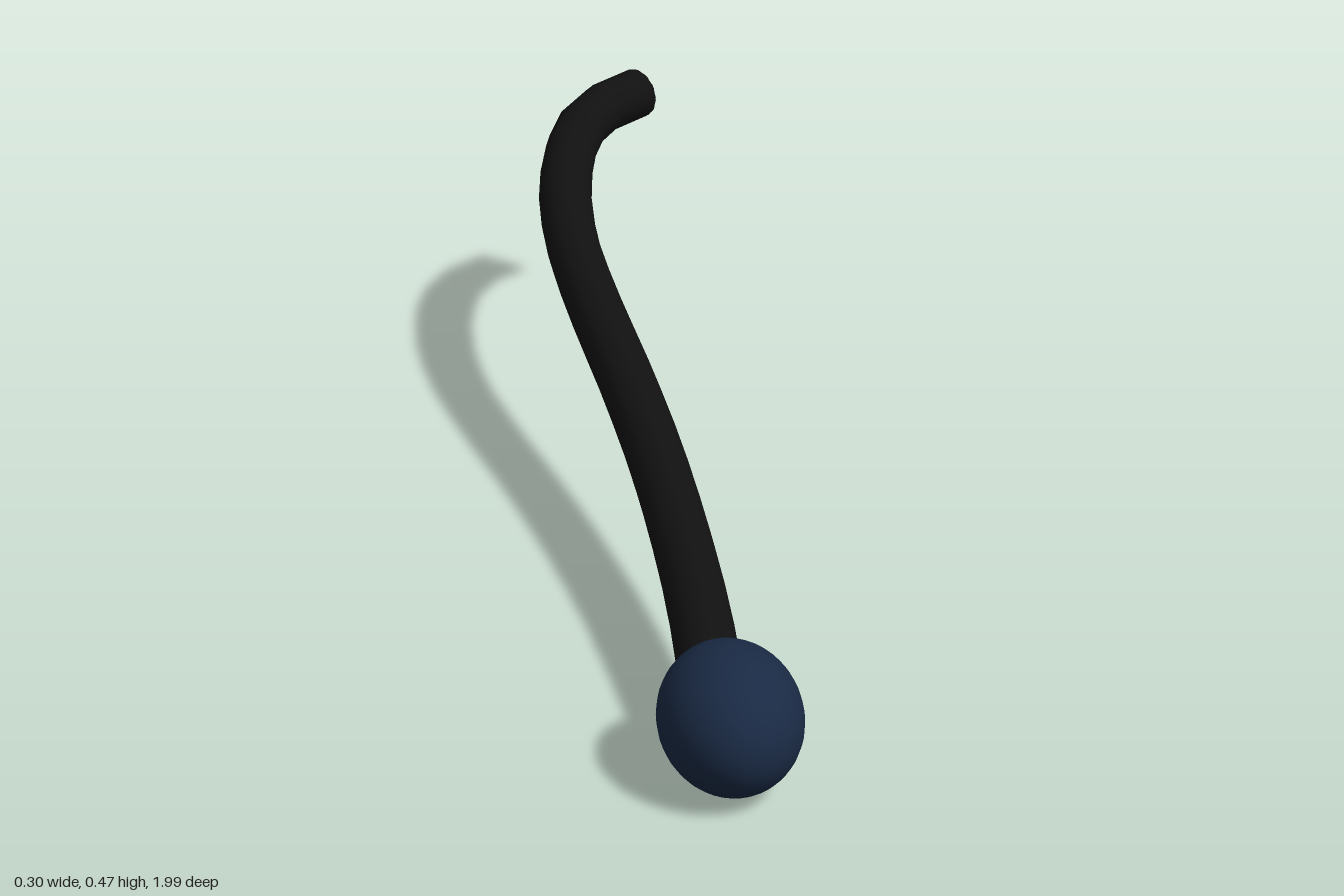
import * as THREE from 'three';

export function createModel() {
  const group = new THREE.Group();
  const black = new THREE.MeshStandardMaterial({ color: 0x111111, side: THREE.DoubleSide });
  const navy = new THREE.MeshStandardMaterial({ color: 0x1a2a44 });

  // Long curved stalk, starting inside the bulb and bending aside at the back
  const radius = 0.046, sides = 12;
  const path = new THREE.CatmullRomCurve3([
    [-0.06, 0.085, 0.82], [-0.045, 0.13, 0.6], [-0.041, 0.168, 0.4], [-0.045, 0.208, 0.2],
    [-0.057, 0.248, 0], [-0.074, 0.289, -0.2], [-0.083, 0.33, -0.4], [-0.067, 0.368, -0.6],
    [-0.015, 0.4, -0.8], [0.045, 0.412, -0.9], [0.12, 0.42, -0.958],
  ].map(p => new THREE.Vector3(...p)));
  const stalk = new THREE.Mesh(new THREE.TubeGeometry(path, 20, radius, sides), black);
  stalk.name = 'stalk';
  group.add(stalk);

  // Flat cap closing the free end
  const end = path.getPointAt(1);
  const cap = new THREE.Mesh(new THREE.CircleGeometry(radius, sides), black);
  cap.name = 'stalkEndCap';
  cap.position.copy(end);
  cap.lookAt(end.clone().add(path.getTangentAt(1)));
  group.add(cap);

  // Egg-shaped bulb at the front
  const bulb = new THREE.Mesh(new THREE.SphereGeometry(1, 32, 24), navy);
  bulb.name = 'bulb';
  bulb.scale.set(0.1, 0.102, 0.128);
  bulb.position.set(-0.051, 0.102, 0.872);
  group.add(bulb);

  return group;
}
